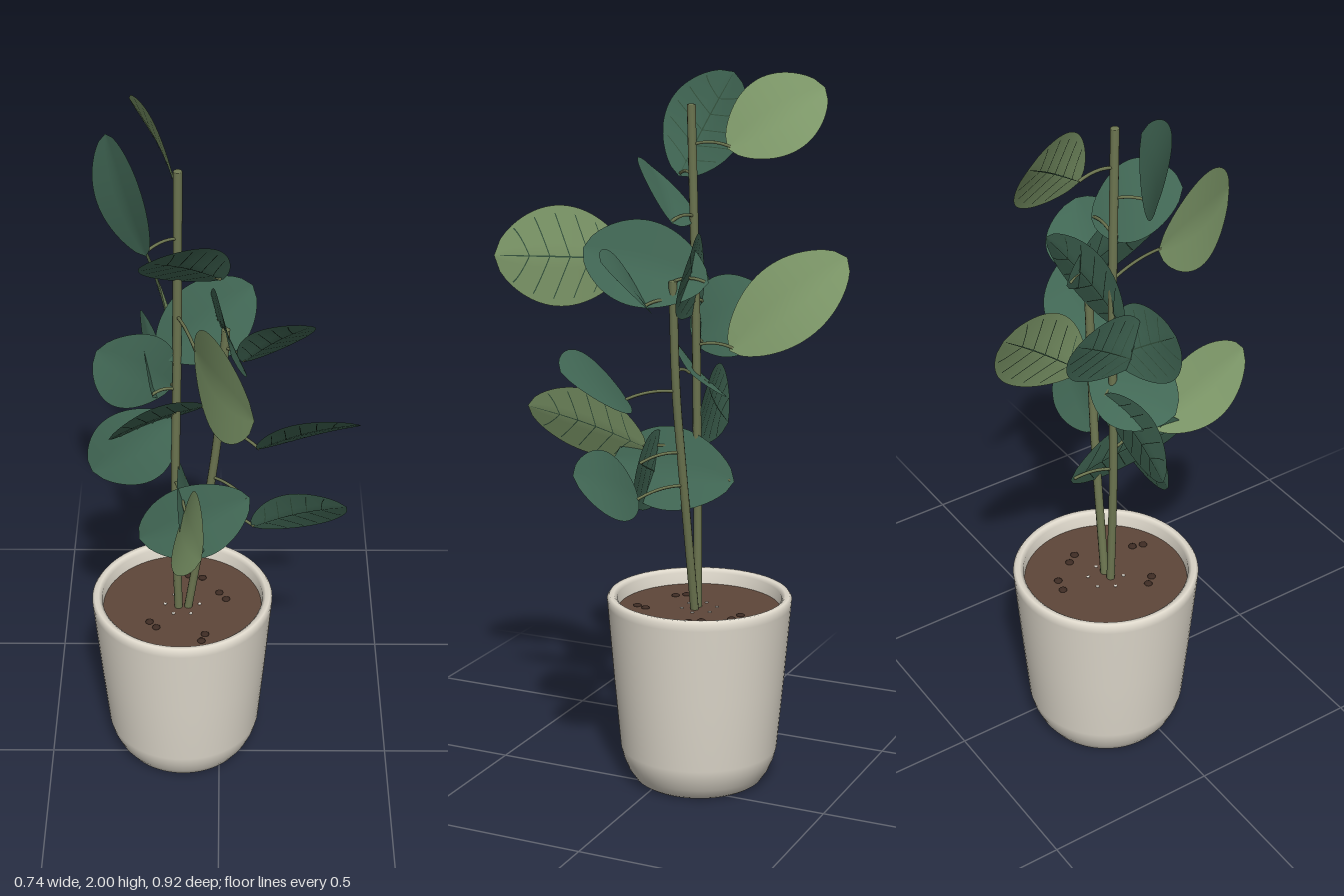
import * as THREE from 'three';
import { mergeGeometries } from 'three/addons/utils/BufferGeometryUtils.js';

const mat = (name, color, side = THREE.FrontSide) => {
  const m = new THREE.MeshStandardMaterial({ color, side });
  m.name = name;
  return m;
};
const V = (p) => new THREE.Vector3(...p);

// Grid surface from a rule f(u, v) -> Vector3, with u along and v across
function surface(f, nu, nv) {
  const pos = [], idx = [];
  for (let i = 0; i <= nu; i++) for (let j = 0; j <= nv; j++) pos.push(...f(i / nu, j / nv).toArray());
  for (let i = 0; i < nu; i++) for (let j = 0; j < nv; j++) {
    const a = i * (nv + 1) + j, b = a + nv + 1;
    idx.push(a, a + 1, b, b, a + 1, b + 1);
  }
  const g = new THREE.BufferGeometry();
  g.setAttribute('position', new THREE.Float32BufferAttribute(pos, 3));
  g.setIndex(idx);
  g.computeVertexNormals();
  return g;
}

// Blade rule: t runs base to tip, s runs -1..1 across, lift moves along the normal
function bladeRule(base, tip, normal, width) {
  const axis = tip.clone().sub(base), len = axis.length(), d = axis.normalize();
  const n = V(normal);
  n.addScaledVector(d, -n.dot(d)).normalize();
  const side = n.clone().cross(d);
  const half = (t) => (width / 2) * Math.pow(Math.max(0, Math.sin(Math.PI * Math.pow(t, 1.05))), 0.58);
  return (t, s, lift = 0) => {
    const w = half(t) * s;
    const bend = Math.sin(Math.PI * t) * len * 0.04 + Math.abs(w) * 0.08 - 0.008;
    return base.clone().addScaledVector(d, t * len).addScaledVector(side, w).addScaledVector(n, bend + lift);
  };
}

// Midrib and side veins as narrow ribbons lying under the blade
function veins(rule) {
  const midrib = surface((u, v) => rule(0.02 + 0.95 * u, (v - 0.5) * 0.03, -0.002), 12, 1);
  const parts = [midrib];
  for (let k = 0; k < 5; k++) for (const s of [-1, 1])
    parts.push(surface((u, v) => rule(0.14 + k * 0.15 + 0.12 * u + (v - 0.5) * 0.008, 0.85 * s * u, -0.002), 8, 1));
  return mergeGeometries(parts);
}

// Leaves that share a posture: upper normal, width, then base and tip of each
const postures = [
  { name: 'topLeaf', normal: [-0.8, 0, 0.6], width: 0.23, ends: [
    [-0.19, 1.71, 0.03, -0.29, 1.99, -0.09]] },
  { name: 'canopyLeaf', normal: [-0.2, 0.7, -0.69], width: 0.225, ends: [
    [0.01, 1.61, -0.05, -0.18, 1.74, 0.1],
    [0.06, 1.39, 0, 0.235, 1.53, 0.05],
    [0.1, 1.14, 0.04, 0.37, 1.26, 0.1],
    [-0.04, 1.2, -0.08, -0.3, 1.15, 0.01]] },
  { name: 'steepLeaf', normal: [0, 0.45, -0.9], width: 0.2, ends: [
    [0.09, 0.86, 0.01, 0.345, 0.98, 0.08]] },
  { name: 'frontLeaf', normal: [0.1, 0.15, 1], width: 0.23, ends: [
    [-0.12, 1.15, -0.085, -0.35, 0.99, -0.05],
    [-0.12, 1.26, -0.065, -0.32, 1.41, 0],
    [-0.16, 1.37, -0.05, 0.09, 1.54, -0.125],
    [0.085, 0.96, 0.03, -0.22, 0.84, 0.06]] },
  { name: 'sideLeaf', normal: [0.95, 0.33, -0.05], width: 0.235, ends: [
    [-0.17, 1.26, -0.02, -0.2, 1.4, -0.23],
    [-0.01, 1.45, -0.14, 0.04, 1.53, 0.21],
    [-0.09, 0.89, -0.185, -0.09, 0.92, 0.185]] },
  { name: 'youngUprightLeaf', young: true, normal: [-0.91, 0, 0.4], width: 0.28, ends: [
    [-0.07, 1.49, 0.12, 0.08, 1.5, 0.46]] },
  { name: 'youngLowLeaf', young: true, normal: [-0.9, 0.35, 0.1], width: 0.215, ends: [
    [-0.1, 0.96, 0.08, -0.05, 1.06, 0.43]] },
  { name: 'youngBackLeaf', young: true, normal: [0.9, 0.38, -0.3], width: 0.225, ends: [
    [-0.11, 1.25, -0.16, -0.22, 1.51, -0.455],
    [-0.1, 1.8, -0.155, -0.23, 1.96, -0.38]] },
];

export function createModel() {
  const model = new THREE.Group();
  const D = THREE.DoubleSide;
  const M = {
    pot: mat('pot glaze', 0xe0dacd, D),
    soil: mat('soil brown', 0x5e4639),
    pebble: mat('pebble brown', 0x3d2b23),
    perlite: mat('perlite white', 0xdedad0),
    stem: mat('stem green', 0x6c7550),
    dark: mat('mature leaf green', 0x436a57, D),
    light: mat('young leaf green', 0x809b6b, D),
    vein: mat('vein green', 0x35543f, D),
  };
  const add = (name, geo, material, parent = model) => {
    const m = new THREE.Mesh(geo, material);
    m.name = name;
    parent.add(m);
    return m;
  };

  // Pot with rounded foot and rim
  const cx = -0.107, cz = -0.077;
  const profile = [[0, 0.012], [0.155, 0.012], [0.16, 0.002], [0.172, 0], [0.184, 0.008], [0.202, 0.035],
    [0.216, 0.068], [0.224, 0.1], [0.242, 0.3], [0.26, 0.52], [0.261, 0.538], [0.254, 0.548], [0.242, 0.547],
    [0.232, 0.538], [0.228, 0.48]].map(([r, y]) => new THREE.Vector2(r, y));
  add('pot', new THREE.LatheGeometry(profile, 64), M.pot).position.set(cx, 0, cz);

  // Soil with pebbles, and pale grains around the stems
  add('soil', new THREE.CylinderGeometry(0.23, 0.23, 0.03, 48), M.soil).position.set(cx, 0.49, cz);
  const grain = (name, x, z, r, material) => {
    const p = add(name, new THREE.SphereGeometry(r, 10, 6), material);
    p.scale.y = 0.5;
    p.position.set(x, 0.506, z);
  };
  for (const [x, z] of [[-0.09, -0.21], [-0.05, -0.2], [-0.05, 0.09], [-0.18, 0.03], [-0.2, 0.005],
    [0, -0.13], [0.02, -0.1], [-0.04, 0.06]]) grain('pebble', x, z, 0.012, M.pebble);
  for (let i = 0; i < 6; i++)
    grain('perlite', cx + 0.05 * Math.cos(i * 1.05), cz + 0.05 * Math.sin(i * 1.05), 0.005, M.perlite);

  // Two stems
  const stems = [
    [[-0.118, 0.49, -0.068], [-0.122, 0.9, -0.062], [-0.112, 1.35, -0.06], [-0.103, 1.91, -0.048]],
    [[-0.092, 0.49, -0.07], [-0.03, 0.9, -0.06], [0, 1.15, -0.052], [0.018, 1.45, -0.05]],
  ].map((pts) => new THREE.CatmullRomCurve3(pts.map(V)));
  for (const c of stems) {
    add('stem', new THREE.TubeGeometry(c, 32, 0.012, 10), M.stem);
    const cap = add('stemTip', new THREE.SphereGeometry(0.012, 10, 6), M.stem);
    cap.scale.y = 0.3;
    cap.position.copy(c.getPoint(1));
  }
  const stemPoints = stems.flatMap((c) => c.getPoints(80));
  const nearestOnStems = (p) => stemPoints.reduce((a, b) => (b.distanceTo(p) < a.distanceTo(p) ? b : a));

  // Leaves, each with blade, veins and a petiole arching from the nearest stem
  for (const { name, young, normal, width, ends } of postures) for (const e of ends) {
    const leaf = new THREE.Group();
    leaf.name = name;
    model.add(leaf);
    const base = V(e.slice(0, 3));
    const rule = bladeRule(base, V(e.slice(3)), normal, width);
    add('blade', surface((u, v) => rule(u, v * 2 - 1), 24, 8), young ? M.light : M.dark, leaf);
    add('veins', veins(rule), M.vein, leaf);
    const end = rule(0.03, 0, -0.002), from = nearestOnStems(base);
    const mid = from.clone().lerp(end, 0.5);
    mid.y += 0.02;
    add('petiole', new THREE.TubeGeometry(new THREE.QuadraticBezierCurve3(from, mid, end), 10, 0.0045, 6), M.stem, leaf);
  }
  return model;
}
